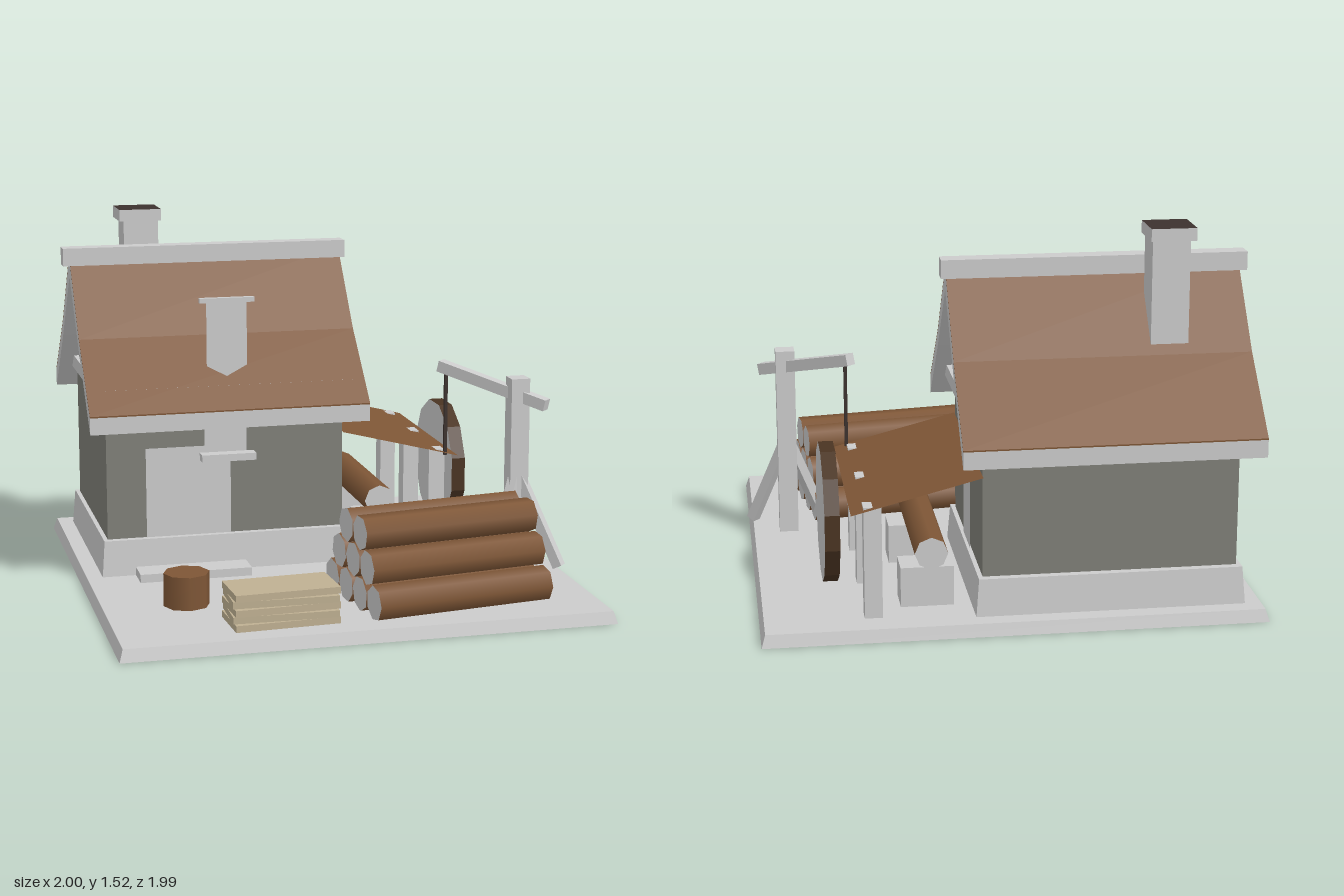
import * as THREE from 'three';

export function createModel() {
  const root = new THREE.Group();
  const mat = (color, side = THREE.FrontSide) => new THREE.MeshStandardMaterial({ color, side });
  const grey = mat(0xcccccc), greySheet = mat(0xcccccc, THREE.DoubleSide);
  const wood = mat(0x7e5636), woodSheet = mat(0x7e5636, THREE.DoubleSide);
  const plaster = mat(0x7f7f78), dark = mat(0x3c322e), plank = mat(0xbfb092);
  const rim = mat(0x4a3422);
  rim.flatShading = true;

  const add = (name, geo, material, x = 0, y = 0, z = 0, parent = root) => {
    const m = new THREE.Mesh(geo, material);
    m.name = name;
    m.position.set(x, y, z);
    parent.add(m);
    return m;
  };
  // Box given by its limits on each axis
  const box = (name, x0, x1, y0, y1, z0, z1, material = grey, parent = root) =>
    add(name, new THREE.BoxGeometry(x1 - x0, y1 - y0, z1 - z0), material,
      (x0 + x1) / 2, (y0 + y1) / 2, (z0 + z1) / 2, parent);
  // Block whose top is narrower by inset on every side
  const tapered = (name, x0, x1, y0, y1, z0, z1, inset) => {
    const m = box(name, x0, x1, y0, y1, z0, z1);
    const p = m.geometry.attributes.position;
    for (let i = 0; i < p.count; i++) if (p.getY(i) > 0) {
      p.setX(i, p.getX(i) - Math.sign(p.getX(i)) * inset);
      p.setZ(i, p.getZ(i) - Math.sign(p.getZ(i)) * inset);
    }
    m.geometry.computeVertexNormals();
  };
  // Square timber between two points
  const strut = (name, a, b, w, parent) => {
    const A = new THREE.Vector3(...a), B = new THREE.Vector3(...b);
    const m = add(name, new THREE.BoxGeometry(w, w, A.distanceTo(B)), grey, 0, 0, 0, parent);
    m.position.copy(A).add(B).multiplyScalar(0.5);
    m.lookAt(B);
  };
  // Cross-section (offset from ridge, height) pulled along x
  const ridgeZ = -0.447;
  const section = (name, pts, x0, x1, material) => {
    const shape = new THREE.Shape(pts.map(p => new THREE.Vector2(...p)));
    const geo = new THREE.ExtrudeGeometry(shape, { depth: x1 - x0, bevelEnabled: false });
    geo.rotateY(Math.PI / 2);
    add(name, geo, material, x0, 0, ridgeZ);
  };
  const reflect = half => half.map(([a, b]) => [-a, b]).reverse();

  // Ground slab, foundation and doorstep
  tapered('groundSlab', -1, 0.985, 0, 0.05, -1, 0.985, 0.015);
  tapered('foundation', -0.92, 0.15, 0.05, 0.2, -0.915, 0.02, 0.012);
  box('doorStep', -0.78, -0.31, 0.05, 0.085, 0, 0.14);

  // House walls with gables
  const wall = [[-0.425, 0.05], [-0.425, 0.78], [-0.26, 0.95]];
  section('walls', [...wall, [0, 1.25], ...reflect(wall)], -0.89, 0.12, plaster);
  box('wallPlate', -0.91, 0.16, 0.78, 0.838, -0.9, 0.008);

  // Flared roof: grey boarding below a thin brown covering, and the ridge beam
  const under = [[-0.545, 0.675], [-0.262, 0.955]];
  const middle = [[-0.545, 0.746], [-0.262, 1.016]];
  const outer = [[-0.545, 0.752], [-0.262, 1.022]];
  section('roofBoarding', [...under, [0, 1.25], ...reflect(under), ...reflect(middle).reverse(),
    [0, 1.338], ...middle.slice().reverse()], -0.97, 0.21, grey);
  section('roofCovering', [...middle, [0, 1.338], ...reflect(middle), ...reflect(outer).reverse(),
    [0, 1.345], ...outer.slice().reverse()], -0.97, 0.21, wood);
  box('ridgeBeam', -1, 0.23, 1.3, 1.375, -0.485, -0.408);

  // Chimney
  box('chimneyStack', -0.72, -0.57, 0.9, 1.47, -0.68, -0.535);
  box('chimneyCap', -0.74, -0.56, 1.47, 1.52, -0.7, -0.515, [grey, grey, dark, dark, grey, grey]);

  // Door, window and side door set on the walls
  add('door', new THREE.PlaneGeometry(0.36, 0.38), greySheet, -0.545, 0.39, -0.018);
  add('window', new THREE.PlaneGeometry(0.18, 0.28), greySheet, -0.385, 0.68, -0.02);
  box('windowSill', -0.5, -0.27, 0.525, 0.555, 0, 0.055);
  add('sideDoor', new THREE.PlaneGeometry(0.21, 0.445), greySheet, 0.126, 0.42, ridgeZ).rotation.y = Math.PI / 2;

  // Hanging banner and its rod
  const flag = new THREE.Shape([[-0.47, 1.2], [-0.47, 0.925], [-0.385, 0.88], [-0.3, 0.925], [-0.3, 1.2]]
    .map(p => new THREE.Vector2(...p)));
  add('banner', new THREE.ShapeGeometry(flag), greySheet, 0, 0, 0.02);
  box('bannerRod', -0.5, -0.27, 1.19, 1.21, 0.01, 0.035);

  // Lean-to shelter, sloping down away from the house
  const leanTo = add('leanToRoof', new THREE.PlaneGeometry(Math.hypot(0.51, 0.13), 0.9), woodSheet, 0.375, 0.545, -0.447);
  leanTo.rotation.set(-Math.PI / 2, Math.atan2(0.13, 0.51), 0);
  for (const z of [-0.835, -0.455, -0.067])
    box('leanToPost', 0.51, 0.58, 0.05, 0.502, z - 0.036, z + 0.036);

  // Log lying on blocks beneath the shelter
  const logMats = [wood, grey, grey];
  const sawLog = add('sawLog', new THREE.CylinderGeometry(0.066, 0.066, 0.69, 8), logMats, 0.31, 0.275, -0.447);
  sawLog.rotation.x = Math.PI / 2;
  for (const z of [-0.7, -0.2]) box('logBlock', 0.22, 0.43, 0.05, 0.212, z - 0.07, z + 0.07);

  // Large upright disc
  const disc = add('wheelDisc', new THREE.CylinderGeometry(0.282, 0.282, 0.06, 12), [rim, grey, grey], 0.69, 0.35, ridgeZ);
  disc.rotation.set(Math.PI / 12, 0, Math.PI / 2);

  // Hoist with braces, slanted arm and rope
  const hoist = new THREE.Group();
  hoist.name = 'hoist';
  root.add(hoist);
  box('hoistPost', 0.78, 0.86, 0.05, 0.855, 0.178, 0.258, grey, hoist);
  strut('hoistArm', [0.56, 0.87, -0.045], [0.915, 0.75, 0.31], 0.048, hoist);
  for (const s of [-1, 1])
    strut('hoistBrace', [0.82 + s * 0.01, 0.43, 0.23], [0.82 + s * 0.15, 0.06, 0.355], 0.042, hoist);
  box('hoistRope', 0.574, 0.588, 0.48, 0.86, -0.035, -0.021, dark, hoist);

  // Stack of logs
  const stack = new THREE.Group();
  stack.name = 'logStack';
  stack.position.set(0.362, 0, 0.59);
  stack.rotation.y = 0.144;
  root.add(stack);
  for (let row = 0; row < 3; row++) {
    const n = 4 - row;
    for (let i = 0; i < n; i++) {
      const log = add('stackedLog', new THREE.CylinderGeometry(0.071, 0.071, 0.75, 7), logMats,
        0, 0.117 + row * 0.124, (i - (n - 1) / 2) * 0.14, stack);
      log.rotation.set(i * 0.3 + row * 0.2, 0, Math.PI / 2);
    }
  }

  // Pile of planks
  for (let i = 0; i < 5; i++) {
    const y = 0.05 + i * 0.03;
    box('plank', -0.54, -0.12, y, y + 0.027, 0.658, 0.872, plank).rotation.y = i % 2 ? -0.02 : 0.055;
  }

  // Chopping stump
  add('stump', new THREE.CylinderGeometry(0.093, 0.093, 0.135, 8), wood, -0.65, 0.1175, 0.475);

  return root;
}
